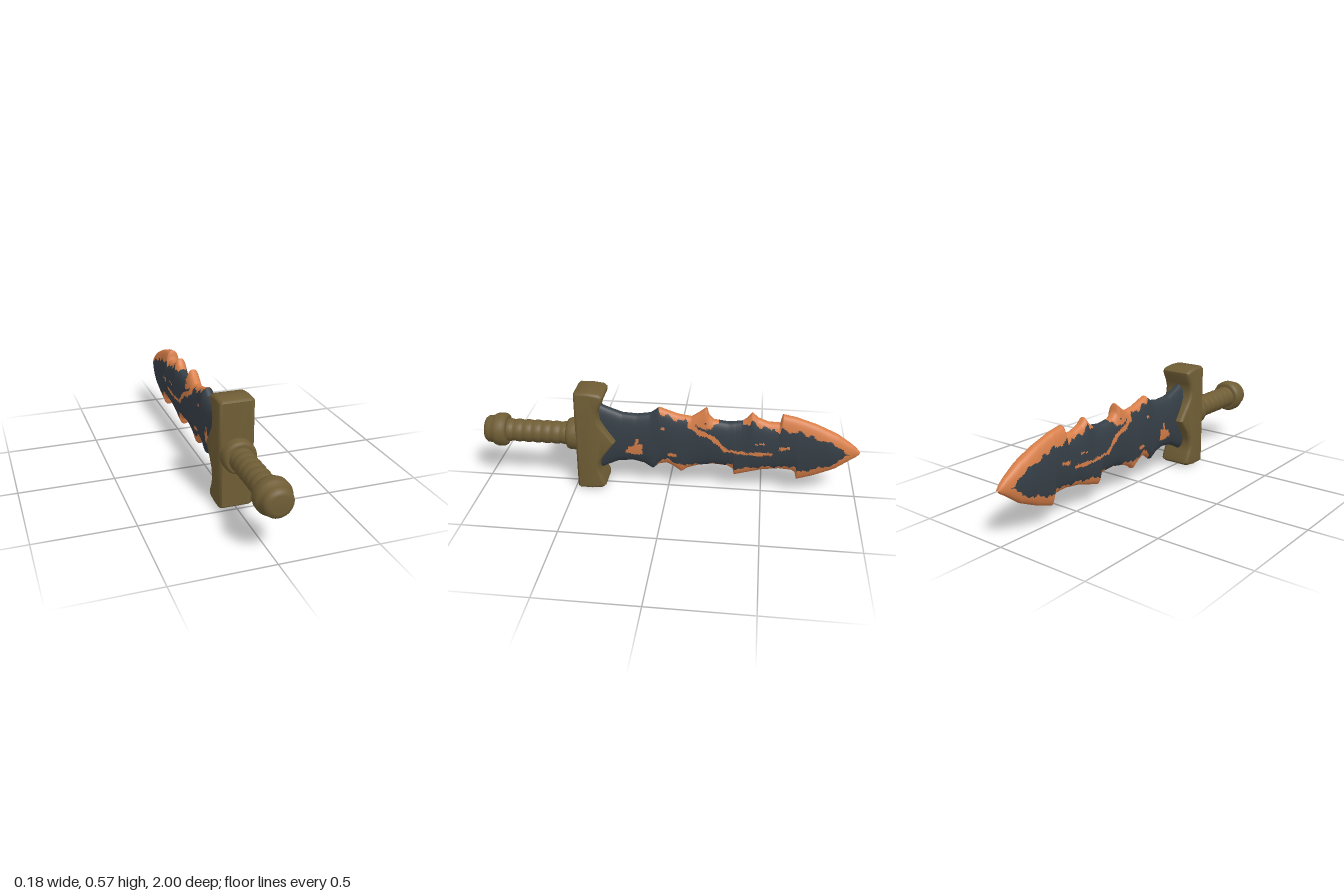
import * as THREE from 'three';
import { toCreasedNormals } from 'three/addons/utils/BufferGeometryUtils.js';

const bronze = new THREE.MeshStandardMaterial({ color: 0x6f5d35 });
bronze.name = 'aged bronze';
const steel = new THREE.MeshStandardMaterial({ color: 0x363f47 });
steel.name = 'dark steel';
const rust = new THREE.MeshStandardMaterial({ color: 0xd87f49 });
rust.name = 'orange rust';

// Blade edges as [z, y], from the guard to the tip
const upperEdge = [
  [0.40, 0.48], [0.36, 0.475], [0.31, 0.455], [0.245, 0.432], [0.165, 0.428], [0.095, 0.44], [0.05, 0.475],
  [0, 0.457], [-0.05, 0.44], [-0.12, 0.43], [-0.16, 0.457], [-0.2, 0.49], [-0.208, 0.45], [-0.235, 0.42],
  [-0.315, 0.41], [-0.385, 0.42], [-0.41, 0.44], [-0.435, 0.472], [-0.465, 0.443], [-0.52, 0.422],
  [-0.58, 0.42], [-0.59, 0.47], [-0.665, 0.455], [-0.77, 0.42], [-0.88, 0.37], [-0.96, 0.315],
  [-0.985, 0.292], [-1, 0.272]];
const lowerEdge = [
  [0.40, 0.10], [0.36, 0.10], [0.325, 0.12], [0.27, 0.145], [0.19, 0.155], [0.13, 0.14], [0.085, 0.11],
  [0.05, 0.14], [0.01, 0.15], [-0.03, 0.13], [-0.07, 0.10], [-0.1, 0.125], [-0.155, 0.145], [-0.235, 0.16],
  [-0.315, 0.155], [-0.345, 0.137], [-0.352, 0.10], [-0.42, 0.12], [-0.5, 0.143], [-0.585, 0.155],
  [-0.655, 0.15], [-0.675, 0.135], [-0.682, 0.095], [-0.77, 0.125], [-0.88, 0.175], [-0.96, 0.235],
  [-0.985, 0.252], [-1, 0.268]];

// Depth of the rust along each edge as [z, depth]
const upperRust = [
  [0.4, 0], [0.06, 0], [0.04, 0.02], [-0.09, 0.02], [-0.12, 0.035], [-0.19, 0.075], [-0.24, 0.03], [-0.27, 0],
  [-0.39, 0], [-0.42, 0.045], [-0.47, 0.03], [-0.55, 0.02], [-0.6, 0.07], [-0.7, 0.06], [-0.85, 0.05],
  [-0.96, 0.06], [-1, 0.1]];
const lowerRust = [
  [0.4, 0], [0.08, 0], [0.05, 0.025], [-0.07, 0.05], [-0.13, 0.025], [-0.16, 0.008], [-0.3, 0.008],
  [-0.36, 0.05], [-0.5, 0.025], [-0.62, 0.02], [-0.69, 0.06], [-0.85, 0.045], [-0.96, 0.05], [-1, 0.1]];

// Rust strokes on the blade faces: [z1, y1, z2, y2, radius]
const rustStrokes = [
  [0.215, 0.222, 0.145, 0.222, 0.014], [0.19, 0.24, 0.16, 0.25, 0.022], [0.17, 0.27, 0.165, 0.295, 0.01],
  [-0.12, 0.395, -0.16, 0.362, 0.016], [-0.16, 0.362, -0.23, 0.338, 0.012], [-0.23, 0.338, -0.3, 0.265, 0.011],
  [-0.3, 0.265, -0.42, 0.25, 0.008], [-0.42, 0.25, -0.54, 0.258, 0.01], [-0.16, 0.4, -0.22, 0.395, 0.014],
  [-0.01, 0.215, -0.04, 0.215, 0.01], [-0.46, 0.31, -0.5, 0.315, 0.005], [-0.59, 0.29, -0.63, 0.298, 0.009],
  [-0.76, 0.365, -0.84, 0.35, 0.008], [0.03, 0.37, 0.02, 0.37, 0.007]];

function sample(points, z) {
  for (let i = 1; i < points.length; i++) {
    const [z0, a] = points[i - 1], [z1, b] = points[i];
    if (z >= z1) return a + (b - a) * (z0 - z) / (z0 - z1);
  }
  return points[points.length - 1][1];
}

function strokeDistance(z, y, [z1, y1, z2, y2]) {
  const dz = z2 - z1, dy = y2 - y1;
  const t = THREE.MathUtils.clamp(((z - z1) * dz + (y - y1) * dy) / (dz * dz + dy * dy), 0, 1);
  return Math.hypot(z - z1 - t * dz, y - y1 - t * dy);
}

function isRust(z, y) {
  const ragged = Math.sin(z * 71 + y * 40) * 0.5 + Math.sin(z * 143 - y * 90) * 0.35;
  const up = sample(upperRust, z), low = sample(lowerRust, z);
  if (up > 0 && sample(upperEdge, z) - y < up + ragged * 0.015) return true;
  if (low > 0 && y - sample(lowerEdge, z) < low + ragged * 0.013) return true;
  return rustStrokes.some((s) => strokeDistance(z, y, s) < s[4] * (1 + 0.4 * ragged));
}

// Lens-like rings lofted from the guard to the tip, sorted into steel and rust faces
function bladeGeometry() {
  const rows = 270, cols = 120, pos = [], steelFaces = [], rustFaces = [];
  for (let i = 0; i <= rows; i++) {
    const z = 0.4 - 1.4 * i / rows;
    const top = sample(upperEdge, z), bottom = sample(lowerEdge, z);
    const taper = Math.sqrt(Math.min(1, (z + 1) / 0.17 + 0.02));
    for (let j = 0; j < cols; j++) {
      const a = j / cols * Math.PI * 2, c = Math.cos(a);
      pos.push(0.046 * taper * Math.sign(c) * Math.abs(c) ** 0.75,
        (top + bottom) / 2 + (top - bottom) / 2 * Math.sin(a), z);
    }
  }
  for (let i = 0; i < rows; i++) {
    for (let j = 0; j < cols; j++) {
      const k = (j + 1) % cols;
      const a = i * cols + j, b = a + cols, c = i * cols + k, d = c + cols;
      const y = (pos[a * 3 + 1] + pos[b * 3 + 1] + pos[c * 3 + 1] + pos[d * 3 + 1]) / 4;
      const z = (pos[a * 3 + 2] + pos[b * 3 + 2]) / 2;
      (isRust(z, y) ? rustFaces : steelFaces).push(a, b, c, c, b, d);
    }
  }
  const g = new THREE.BufferGeometry();
  g.setAttribute('position', new THREE.Float32BufferAttribute(pos, 3));
  g.setIndex([...steelFaces, ...rustFaces]);
  g.addGroup(0, steelFaces.length, 0);
  g.addGroup(steelFaces.length, rustFaces.length, 1);
  g.computeVertexNormals();
  return g;
}

// Side profile of the guard with flared ends and a pointed centre, extruded across x
function guardGeometry() {
  const half = [[0.335, 0.21], [0.36, 0.17], [0.367, 0.125], [0.357, 0.09], [0.335, 0.045], [0.333, 0.025],
    [0.35, 0.01], [0.41, 0.002], [0.475, 0.004], [0.488, 0.015]];
  const lower = half.map(([z, y]) => new THREE.Vector2(-z, y));
  const upper = half.map(([z, y]) => new THREE.Vector2(-z, 0.574 - y)).reverse();
  const shape = new THREE.Shape([...upper, new THREE.Vector2(-0.278, 0.287), ...lower]);
  const g = new THREE.ExtrudeGeometry(shape, {
    depth: 0.13, bevelThickness: 0.024, bevelSize: 0.015, bevelOffset: -0.015, bevelSegments: 4 });
  g.translate(0, 0, -0.065);
  g.rotateY(Math.PI / 2);
  return toCreasedNormals(g, 0.8);
}

// Turned part along z from [radius, z] points
function turned(name, points) {
  const g = new THREE.LatheGeometry(points.map(([r, z]) => new THREE.Vector2(r, z)), 32);
  g.rotateX(Math.PI / 2);
  const mesh = new THREE.Mesh(g, bronze);
  mesh.name = name;
  mesh.position.y = 0.292;
  return mesh;
}

export function createModel() {
  const model = new THREE.Group();
  model.name = 'dagger';

  const blade = new THREE.Mesh(bladeGeometry(), [steel, rust]);
  blade.name = 'blade';
  const guard = new THREE.Mesh(guardGeometry(), bronze);
  guard.name = 'guard';
  model.add(blade, guard);

  model.add(turned('collar', [[0.086, 0.47], [0.087, 0.5], [0.086, 0.525], [0.08, 0.54], [0.07, 0.546], [0, 0.546]]));

  // Grip with shallow wrapped ridges
  const ridges = [];
  for (let i = 0; i <= 56; i++) {
    ridges.push([0.058 + 0.004 * Math.abs(Math.sin(i / 56 * Math.PI * 7)), 0.53 + 0.36 * i / 56]);
  }
  model.add(turned('grip', ridges));

  model.add(turned('pommel', [[0, 0.872], [0.07, 0.872], [0.084, 0.88], [0.09, 0.895], [0.09, 0.925],
    [0.085, 0.94], [0.076, 0.95], [0.074, 0.965], [0.072, 0.98], [0.062, 0.993], [0.045, 0.998], [0, 1]]));
  return model;
}
